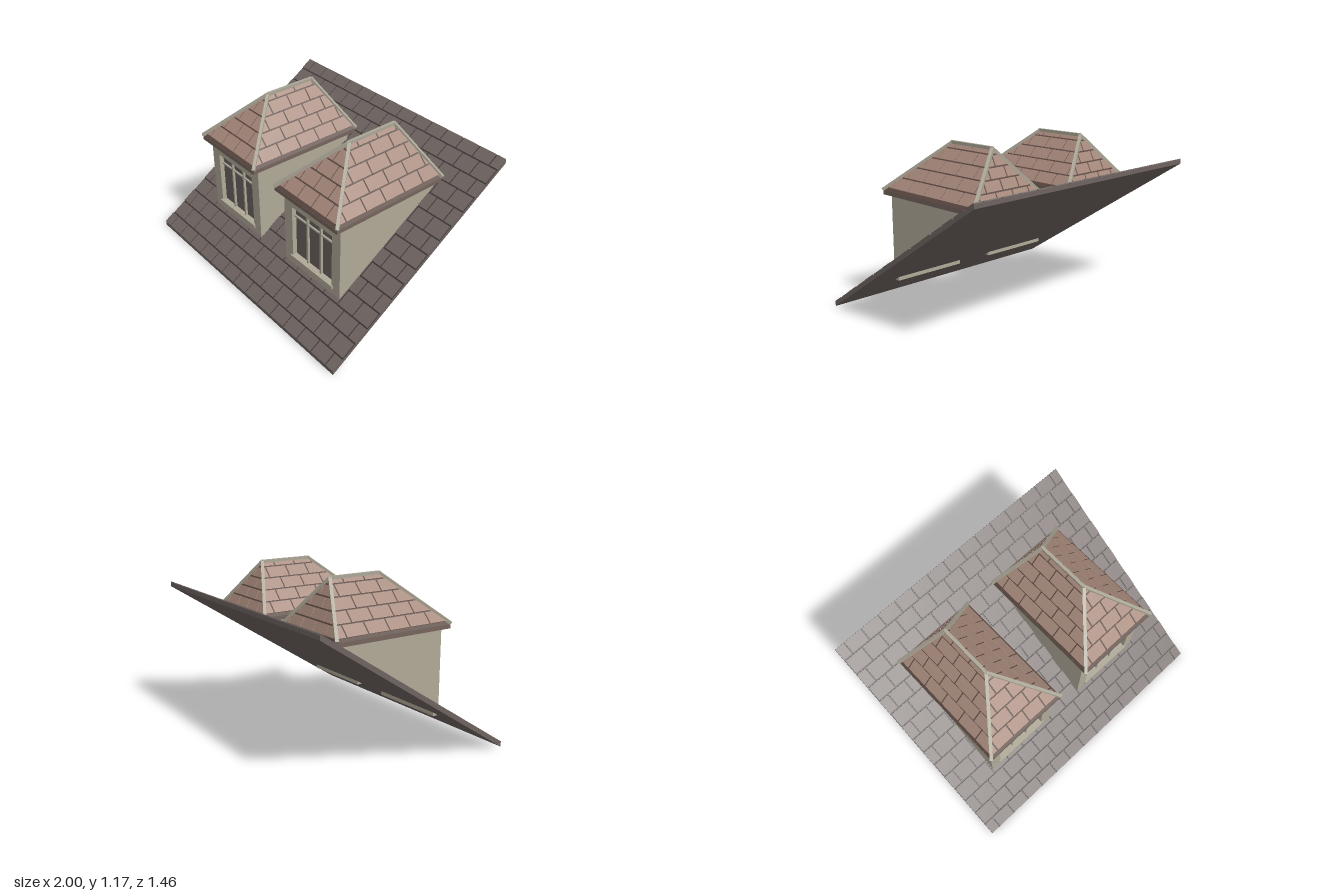
import * as THREE from 'three';
import { mergeGeometries } from 'three/addons/utils/BufferGeometryUtils.js';

const mat = (name, color) => Object.assign(new THREE.MeshStandardMaterial({ color }), { name });
const slate = mat('slate', 0x6e6461);
const slateGap = mat('slate gap', 0x3a3331);
const clay = mat('clay tile', 0xa5877a);
const clayGap = mat('clay gap', 0x5a473f);
const plaster = mat('plaster', 0xb0a998);
const trim = mat('trim', 0xaba797);
const fasciaBrown = mat('fascia brown', 0x75655d);
const glass = mat('dark glass', 0x6c625f);

const V = (x, y, z) => new THREE.Vector3(x, y, z);

function add(parent, name, geometry, material) {
  const mesh = new THREE.Mesh(geometry, material);
  mesh.name = name;
  parent.add(mesh);
  return mesh;
}

function box(parent, name, material, w, h, d, x, y, z) {
  return add(parent, name, new THREE.BoxGeometry(w, h, d).translate(x, y, z), material);
}

// Prism across x from a (z, y) profile
function prismX(points, width) {
  const shape = new THREE.Shape(points.map(([z, y]) => new THREE.Vector2(z, y)));
  return new THREE.ExtrudeGeometry(shape, { depth: width, bevelEnabled: false })
    .rotateY(-Math.PI / 2).translate(width / 2, 0, 0);
}

// Clip a polygon to the inside of a convex counter-clockwise outline
function clip(poly, outline) {
  outline.forEach((a, i) => {
    const b = outline[(i + 1) % outline.length];
    const side = p => (b.x - a.x) * (p.y - a.y) - (b.y - a.y) * (p.x - a.x);
    const out = [];
    poly.forEach((p, j) => {
      const q = poly[(j + 1) % poly.length], sp = side(p), sq = side(q);
      if (sp >= 0) out.push(p);
      if ((sp > 0 && sq < 0) || (sp < 0 && sq > 0)) out.push(p.clone().lerp(q, sp / (sp - sq)));
    });
    poly = out;
  });
  return poly;
}

const area = p => Math.abs(THREE.ShapeUtils.area(p));

// Staggered raised tiles over a dark backing; corners run from bottom left, counter-clockwise
function tiledFace(parent, name, corners, { tile, gap, col, rise, first, thick = 0.007 }) {
  const o = corners[0];
  const u = corners[1].clone().sub(o).normalize();
  const n = u.clone().cross(corners[corners.length - 1].clone().sub(o)).normalize();
  const v = n.clone().cross(u);
  const m = new THREE.Matrix4().makeBasis(u, v, n).setPosition(o);
  const outline = corners.map(c => {
    const d = c.clone().sub(o);
    return new THREE.Vector2(d.dot(u), d.dot(v));
  });
  const maxU = Math.max(...outline.map(p => p.x)), maxV = Math.max(...outline.map(p => p.y));
  const row = rise / v.y, g = 0.005, tiles = [];
  let v0 = first / v.y - row;
  for (let r = 0; v0 < maxV; r++, v0 += row) {
    for (let u0 = r % 2 ? 0 : -col / 2; u0 < maxU; u0 += col) {
      const cell = [[u0 + g, v0 + g], [u0 + col - g, v0 + g], [u0 + col - g, v0 + row - g], [u0 + g, v0 + row - g]]
        .map(p => new THREE.Vector2(...p));
      const piece = clip(cell, outline);
      if (piece.length < 3 || area(piece) < 1e-5) continue;
      tiles.push(new THREE.ExtrudeGeometry(new THREE.Shape(piece), { depth: thick, bevelEnabled: false }));
    }
  }
  add(parent, name + ' backing', new THREE.ShapeGeometry(new THREE.Shape(outline)).translate(0, 0, 0.0005).applyMatrix4(m), gap);
  add(parent, name + ' tiles', mergeGeometries(tiles).applyMatrix4(m), tile);
}

// Square bar between two points
function bar(parent, name, a, b, size) {
  const mesh = add(parent, name, new THREE.BoxGeometry(size, size, a.distanceTo(b) + size * 0.4), trim);
  mesh.position.copy(a).lerp(b, 0.5);
  mesh.lookAt(b);
}

function dormer() {
  const g = new THREE.Group();

  // Side walls and body, cut to the slope and sunk into it
  add(g, 'dormer body', prismX([[0.385, 0.81], [-0.385, 0.81], [-0.385, 0.741], [0.385, 0.243]], 0.56), plaster);

  // Front wall with window opening
  const wall = new THREE.Shape([[-0.28, 0.2], [0.28, 0.2], [0.28, 0.81], [-0.28, 0.81]].map(p => new THREE.Vector2(...p)));
  wall.holes.push(new THREE.Path([[-0.2, 0.305], [-0.2, 0.7], [0.2, 0.7], [0.2, 0.305]].map(p => new THREE.Vector2(...p))));
  add(g, 'front wall', new THREE.ExtrudeGeometry(wall, { depth: 0.045, bevelEnabled: false }).translate(0, 0, 0.38), plaster);

  // Window
  box(g, 'window glass', glass, 0.4, 0.395, 0.008, 0, 0.5025, 0.387);
  for (const x of [-0.067, 0.067]) box(g, 'mullion', trim, 0.013, 0.395, 0.02, x, 0.5025, 0.398);
  box(g, 'transom', trim, 0.4, 0.011, 0.016, 0, 0.622, 0.396);
  box(g, 'window sill', plaster, 0.43, 0.023, 0.05, 0, 0.293, 0.412);

  // Eaves board
  box(g, 'eaves fascia', fasciaBrown, 0.616, 0.03, 0.91, 0, 0.815, 0.024);

  // Hipped roof
  const W = 0.308, E = 0.829, R = 1.155, zf = 0.478, zb = -0.432;
  const fl = V(-W, E, zf), fr = V(W, E, zf), br = V(W, E, zb), bl = V(-W, E, zb);
  const rf = V(0, R, 0.115), rb = V(0, R, -0.27);
  const look = { tile: clay, gap: clayGap, rise: 0.07, first: 0.085 };
  tiledFace(g, 'front roof', [fl, fr, rf], { ...look, col: 0.14 });
  tiledFace(g, 'right roof', [fr, br, rb, rf], { ...look, col: 0.165 });
  tiledFace(g, 'back roof', [br, bl, rb], { ...look, col: 0.14 });
  tiledFace(g, 'left roof', [bl, fl, rf, rb], { ...look, col: 0.165 });

  // Ridge and hip caps
  const lift = p => p.clone().add(V(0, 0.008, 0));
  bar(g, 'ridge cap', lift(rf), lift(rb), 0.022);
  for (const [c, r] of [[fl, rf], [fr, rf], [br, rb], [bl, rb]]) bar(g, 'hip cap', lift(c), lift(r), 0.022);
  return g;
}

export function createModel() {
  const model = new THREE.Group();
  model.name = 'roof with dormers';

  // Sloping main roof
  const Z = 0.73, lo = 0.03, hi = 0.976;
  add(model, 'roof slab', prismX([[Z, 0], [Z, lo], [-Z, hi], [-Z, hi - lo]], 2), slate);
  tiledFace(model, 'main roof', [V(-1, lo, Z), V(1, lo, Z), V(1, hi, -Z), V(-1, hi, -Z)],
    { tile: slate, gap: slateGap, col: 2 / 14, rise: 0.0648, first: 0.0518 });

  // Pair of dormers
  for (const [name, x] of [['left dormer', 0.425], ['right dormer', -0.425]]) {
    const d = dormer();
    d.name = name;
    d.position.x = x;
    model.add(d);
  }
  return model;
}
